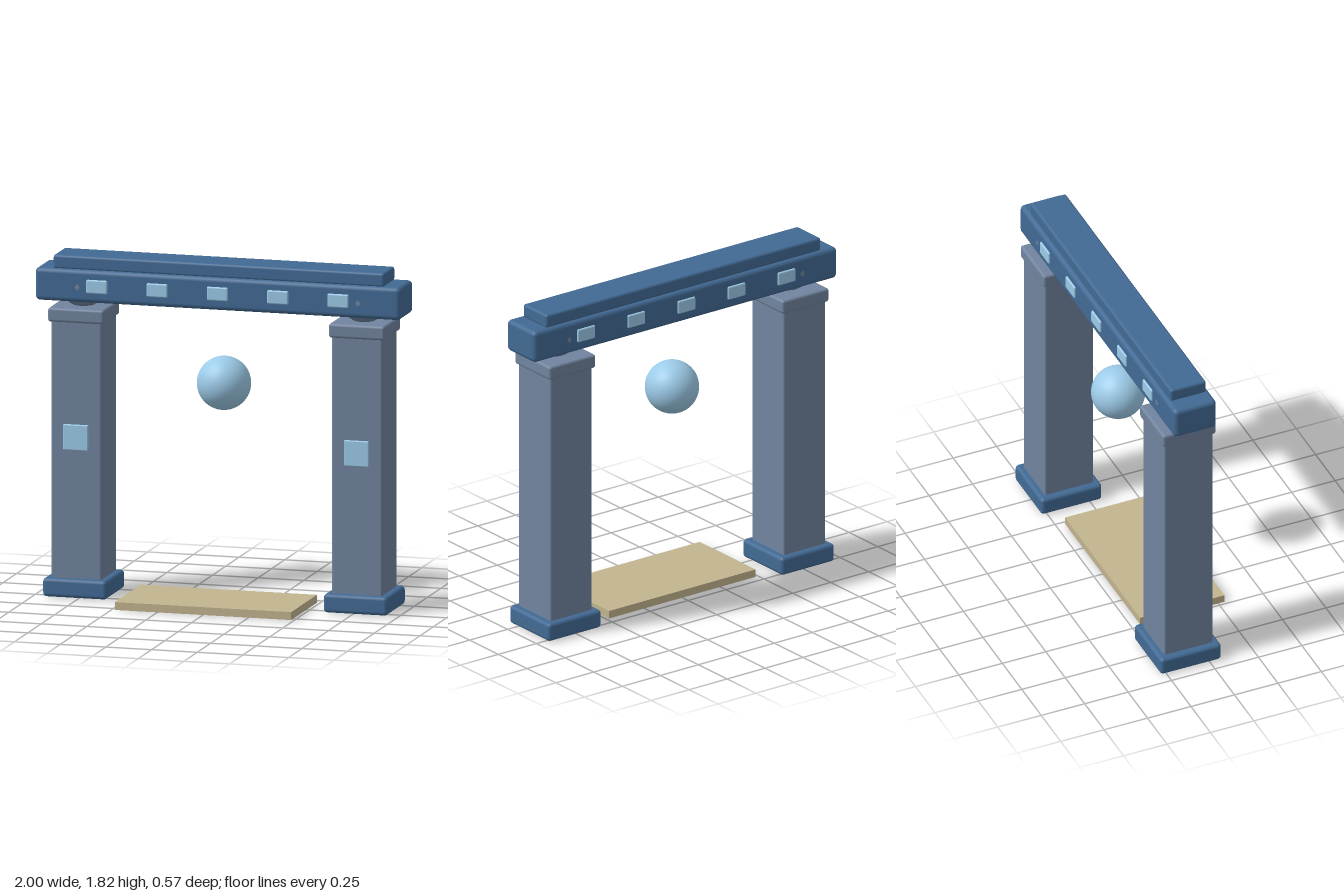
import * as THREE from 'three';
import { RoundedBoxGeometry } from 'three/addons/geometries/RoundedBoxGeometry.js';

const mat = (color) => new THREE.MeshStandardMaterial({ color });
const Z = -0.11; // depth plane of the arch

export function createModel() {
  const model = new THREE.Group();
  model.name = 'archGate';
  const navy = mat(0x426a94), stone = mat(0x71849f), glow = mat(0x9ccbe8), sand = mat(0xc2b48f);

  const add = (parent, name, geometry, material, x, y, z) => {
    const mesh = new THREE.Mesh(geometry, material);
    mesh.name = name;
    mesh.position.set(x, y, z);
    parent.add(mesh);
    return mesh;
  };
  // Rounded block between heights y0 and y1
  const block = (parent, name, material, x, z, w, d, y0, y1, r) =>
    add(parent, name, new RoundedBoxGeometry(w, y1 - y0, d, 3, r), material, x, (y0 + y1) / 2, z);

  // Two mirrored pillars
  for (const side of [-1, 1]) {
    const pillar = new THREE.Group();
    pillar.name = side > 0 ? 'leftPillar' : 'rightPillar';
    pillar.position.set(side * 0.768, 0, Z);
    block(pillar, 'base', navy, 0, 0, 0.35, 0.35, 0.005, 0.105, 0.02);
    block(pillar, 'shaft', stone, 0, 0, 0.275, 0.28, 0.05, 1.5, 0.01);
    block(pillar, 'capital', stone, 0, 0, 0.306, 0.306, 1.475, 1.55, 0.014);
    // Ball bearing the beam, mostly sunk into it
    add(pillar, 'bearingBall', new THREE.SphereGeometry(0.124, 32, 20), stone, 0, 1.66, 0);
    block(pillar, 'shaftPanel', glow, 0, 0.145, 0.135, 0.025, 0.795, 0.93, 0.004);
    model.add(pillar);
  }

  // Beam and the ridge on top of it
  block(model, 'beam', navy, 0, Z, 2, 0.245, 1.58, 1.755, 0.025);
  block(model, 'ridge', navy, 0, Z, 1.81, 0.206, 1.75, 1.825, 0.014);

  // Glowing inlays on both faces of the beam
  for (let i = -2; i <= 2; i++) {
    for (const face of [-1, 1]) {
      block(model, 'beamInlay', glow, i * 0.33, Z + face * 0.12, 0.115, 0.024, 1.633, 1.706, 0.008);
    }
  }

  // Floating orb and floor slab
  add(model, 'orb', new THREE.SphereGeometry(0.143, 48, 32), glow, 0, 1.17, Z);
  add(model, 'floorSlab', new THREE.BoxGeometry(0.965, 0.042, 0.485), sand, 0, 0.023, 0.0425);

  return model;
}
